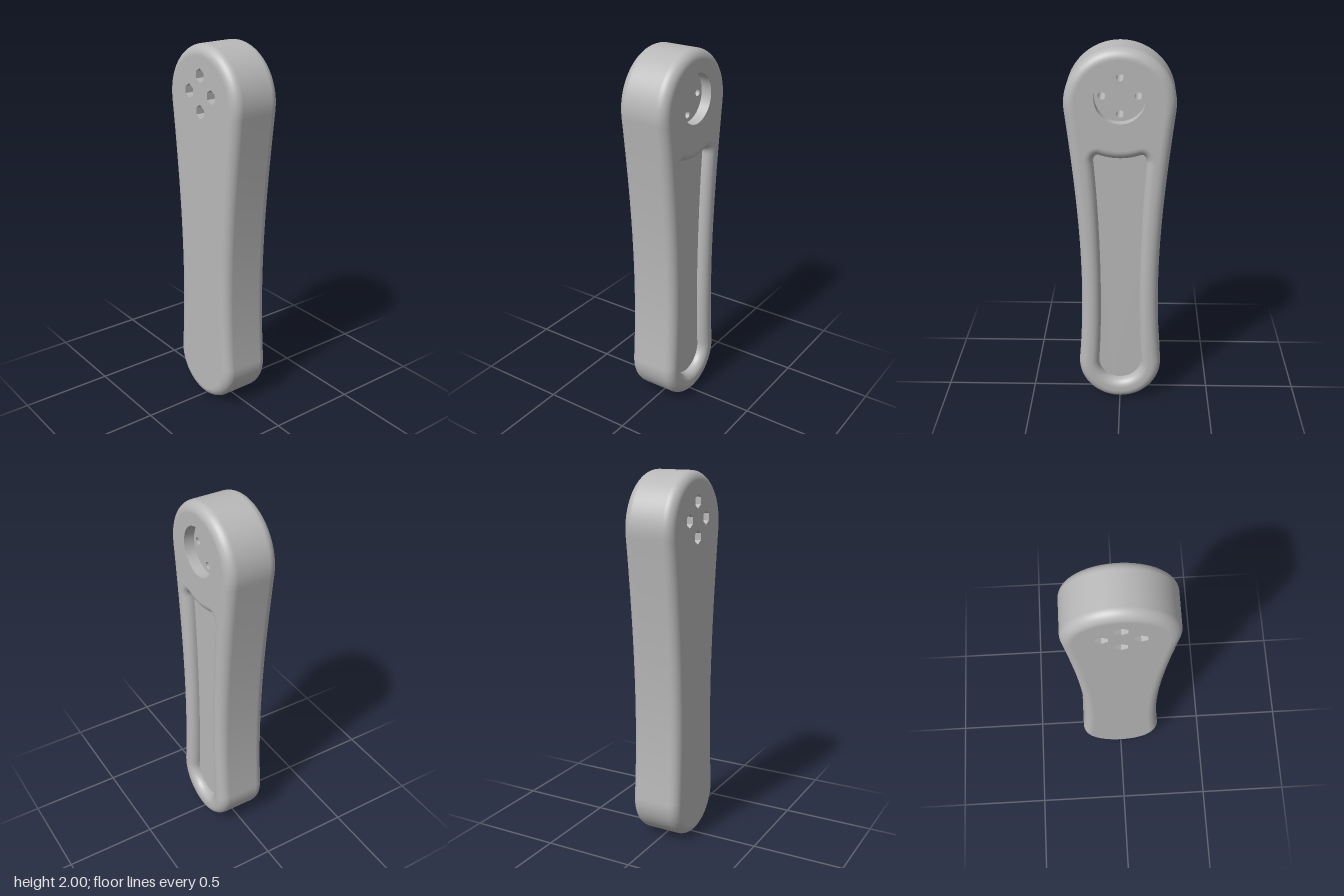
import * as THREE from 'three';

const HALF = 0.142;      // half thickness of the arm
const ROUND = 0.053;     // outer edge rounding
const LIP = 0.046;       // pocket edge rounding
const HUB_Y = 1.755;
const HUB_FLOOR = HALF - 0.057;
const POCKET_FLOOR = HALF - 0.053;
const NUT_FLOOR = -0.05;
const DEG = Math.PI / 180;

// Mirror half a path (bottom centre to top centre) into a closed counter-clockwise loop
function mirroredLoop(path) {
  const half = path.getPoints(24).filter((p, i, a) => i === 0 || p.distanceTo(a[i - 1]) > 1e-4);
  const other = half.slice(1, -1).reverse().map(p => new THREE.Vector2(-p.x, p.y));
  return [...half, ...other];
}

// Push a loop outward (positive) or inward (negative)
function offset(loop, d) {
  const n = loop.length;
  return loop.map((p, i) => {
    const a = p.clone().sub(loop[(i + n - 1) % n]).normalize();
    const b = loop[(i + 1) % n].clone().sub(p).normalize();
    const t = a.add(b).normalize();
    return new THREE.Vector2(p.x + t.y * d, p.y - t.x * d);
  });
}

function circle(r, n, cx = 0, cy = 0, start = 0) {
  return Array.from({ length: n }, (_, i) => {
    const a = start + i / n * Math.PI * 2;
    return new THREE.Vector2(cx + r * Math.cos(a), cy + r * Math.sin(a));
  });
}

// Surface through a stack of loops; each ring is { loop, h }
function skin(rings, flat = false) {
  const n = rings[0].loop.length, pos = [], idx = [];
  for (const { loop, h } of rings) for (const p of loop) pos.push(p.x, p.y, h);
  for (let r = 0; r < rings.length - 1; r++) {
    for (let i = 0; i < n; i++) {
      const a = r * n + i, b = r * n + (i + 1) % n;
      idx.push(a, b, b + n, a, b + n, a + n);
    }
  }
  let g = new THREE.BufferGeometry();
  g.setAttribute('position', new THREE.Float32BufferAttribute(pos, 3));
  g.setIndex(idx);
  if (flat) g = g.toNonIndexed();
  g.computeVertexNormals();
  return g;
}

// Flat face with holes, facing front or (when back is set) the opposite way
function face(loop, holes, h, back = false) {
  const s = new THREE.Shape(loop);
  s.holes = holes.map(q => new THREE.Path(q));
  const g = new THREE.ShapeGeometry(s);
  if (back) g.rotateY(Math.PI);
  return g.translate(0, 0, h);
}

export function createModel() {
  const metal = new THREE.MeshStandardMaterial({ color: 0xb8b8b8 });
  metal.name = 'plain grey';
  const arm = new THREE.Group();
  arm.name = 'arm';
  const add = (name, geometry) => {
    const m = new THREE.Mesh(geometry, metal);
    m.name = name;
    arm.add(m);
    return m;
  };

  // Outer outline: two round ends joined by waisted sides
  const outer = new THREE.Path();
  outer.moveTo(0, 0);
  outer.absarc(0, 0.227, 0.227, -90 * DEG, 5 * DEG, false);
  outer.bezierCurveTo(0.182, 0.747, 0.2205, 1.181, 0.282, 1.681);
  outer.absarc(0, 1.716, 0.284, -7 * DEG, 90 * DEG, false);
  const outline = mirroredLoop(outer);

  // Pocket floor outline: round bottom, top curved around the hub
  const inner = new THREE.Path();
  inner.moveTo(0, 0.117);
  inner.absarc(0, 0.234, 0.117, -90 * DEG, 5 * DEG, false);
  inner.bezierCurveTo(0.092, 0.6, 0.108, 1.1, 0.137, 1.415);
  inner.bezierCurveTo(0.139, 1.44, 0.124, 1.46, 0.105, 1.4527);
  inner.absarc(0, HUB_Y, 0.32, -70.85 * DEG, -90 * DEG, true);
  const pocket = mirroredLoop(inner);

  // Side wall with rounded front and back edges
  const STEPS = 12, side = [];
  for (let i = 0; i <= STEPS; i++) {
    const a = i / STEPS * Math.PI / 2;
    side.push({ loop: offset(outline, -ROUND * (1 - Math.sin(a))), h: -HALF + ROUND * (1 - Math.cos(a)) });
  }
  const mirrored = side.slice().reverse().map(r => ({ loop: r.loop, h: -r.h }));
  add('side wall', skin([...side, ...mirrored]));

  // Pocket with a rounded lip
  const lip = [];
  for (let i = 0; i <= STEPS; i++) {
    const a = i / STEPS * Math.PI / 2;
    lip.push({ loop: offset(pocket, LIP * (1 - Math.sin(a))), h: HALF - LIP * (1 - Math.cos(a)) });
  }
  lip.push({ loop: pocket, h: POCKET_FLOOR });
  add('pocket wall', skin(lip));
  add('pocket floor', face(pocket, [], POCKET_FLOOR));

  // Four bolt positions around the hub
  const bolts = [0, 1, 2, 3].map(i => [
    0.092 * Math.cos(i * Math.PI / 2), HUB_Y + 0.092 * Math.sin(i * Math.PI / 2)]);
  const boltLoop = ([x, y]) => circle(0.019, 24, x, y);
  const nutLoop = ([x, y]) => circle(0.037, 6, x, y, Math.PI / 2);

  // Front and back faces, round hub recess
  const faceLoop = offset(outline, -ROUND);
  const hub = circle(0.13, 64, 0, HUB_Y);
  add('front face', face(faceLoop, [lip[0].loop, hub], HALF));
  add('back face', face(faceLoop, bolts.map(nutLoop), -HALF, true));
  add('hub wall', skin([{ loop: hub, h: HALF }, { loop: hub, h: HUB_FLOOR }]));
  add('hub floor', face(hub, bolts.map(boltLoop), HUB_FLOOR));

  // Bolt holes opening into hexagonal nut pockets at the back
  for (const b of bolts) {
    const hole = boltLoop(b), nut = nutLoop(b);
    add('bolt hole', skin([{ loop: hole, h: HUB_FLOOR }, { loop: hole, h: NUT_FLOOR }]));
    add('nut pocket wall', skin([{ loop: nut, h: NUT_FLOOR }, { loop: nut, h: -HALF }], true));
    const seat = add('nut pocket floor',
      face(nutLoop([0, 0]), [boltLoop([0, 0])], 0, true));
    seat.position.set(b[0], b[1], NUT_FLOOR);
  }

  // Turn the recessed face towards +x
  arm.rotation.y = Math.PI / 2;
  const model = new THREE.Group();
  model.name = 'lever arm';
  model.add(arm);
  return model;
}
